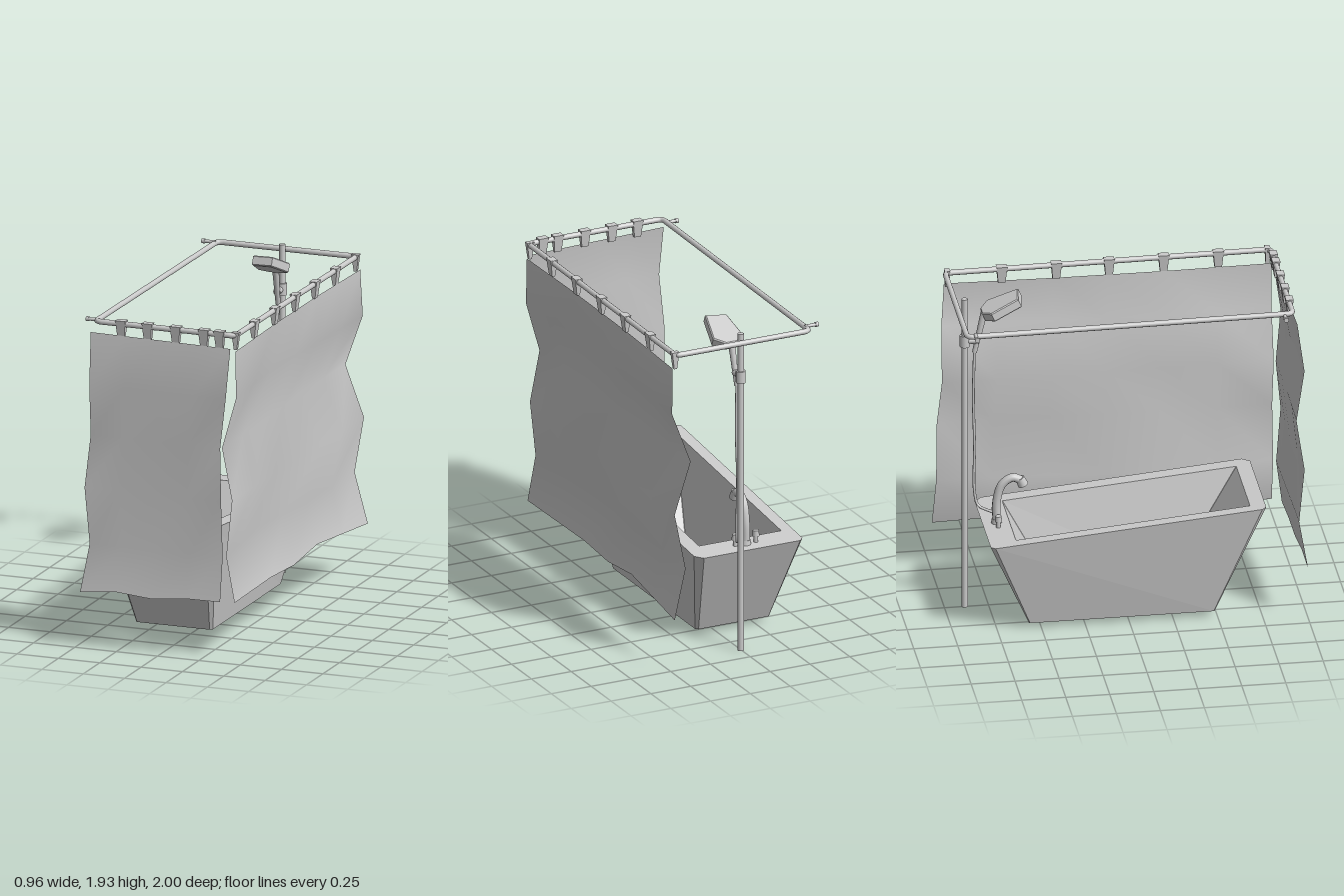
import * as THREE from 'three';

const V = (x, y, z) => new THREE.Vector3(x, y, z);
const smooth = new THREE.MeshStandardMaterial({ color: 0xcccccc });
const flat = new THREE.MeshStandardMaterial({ color: 0xcccccc, flatShading: true });
const cloth = new THREE.MeshStandardMaterial({ color: 0xcccccc, side: THREE.DoubleSide });

export function createModel() {
  const model = new THREE.Group();

  const add = (name, geometry, material = smooth, parent = model) => {
    const mesh = new THREE.Mesh(geometry, material);
    mesh.name = name;
    parent.add(mesh);
    return mesh;
  };
  const group = (name) => {
    const g = new THREE.Group();
    g.name = name;
    model.add(g);
    return g;
  };
  // Cylinder between two points
  const rod = (name, a, b, r0, r1, parent, sides = 12) => {
    const dir = b.clone().sub(a);
    const mesh = add(name, new THREE.CylinderGeometry(r1, r0, dir.length(), sides), smooth, parent);
    mesh.position.copy(a).add(b).multiplyScalar(0.5);
    mesh.quaternion.setFromUnitVectors(V(0, 1, 0), dir.normalize());
  };
  const tube = (name, points, r, parent, segments = 24) =>
    add(name, new THREE.TubeGeometry(new THREE.CatmullRomCurve3(points), segments, r, 10), smooth, parent);

  // Bathtub: rectangles (chamfered by c on the left, d on the right) lofted
  // up the outside, over the sloping rim and down the inside
  const ring = (x0, x1, z0, z1, c, d, yAt) => [
    [x1, z0 + c], [x1, z1 - c], [x1 - c, z1], [x0 + d, z1],
    [x0, z1 - d], [x0, z0 + d], [x0 + d, z0], [x1 - c, z0],
  ].map(([x, z]) => [x, yAt(z), z]);
  const rimY = (z) => 0.63 + 0.09 * z;
  const rings = [
    ring(-0.335, 0.125, -0.57, 0.485, 0.015, 0.006, () => 0.032),
    ring(-0.44, 0.232, -0.8, 0.765, 0.042, 0.025, rimY),
    ring(-0.37, 0.147, -0.65, 0.68, 0.002, 0.002, rimY),
    ring(-0.255, 0.032, -0.39, 0.3, 0.002, 0.002, () => 0.1),
  ];
  const tri = [];
  const n = 8;
  for (let j = 0; j < rings.length - 1; j++) {
    for (let i = 0; i < n; i++) {
      const k = (i + 1) % n;
      const [a, b, c, d] = [rings[j][i], rings[j][k], rings[j + 1][k], rings[j + 1][i]];
      tri.push(...a, ...c, ...b, ...a, ...d, ...c);
    }
  }
  for (let i = 1; i < n - 1; i++) {
    const [bottom, floor] = [rings[0], rings[3]];
    tri.push(...bottom[0], ...bottom[i], ...bottom[i + 1]);
    tri.push(...floor[0], ...floor[i + 1], ...floor[i]);
  }
  const tubGeo = new THREE.BufferGeometry();
  tubGeo.setAttribute('position', new THREE.Float32BufferAttribute(tri, 3));
  tubGeo.computeVertexNormals();
  add('bathtub', tubGeo, flat);

  // Drain
  const drain = group('drain');
  drain.position.set(-0.11, 0.105, -0.3);
  add('drainRing', new THREE.TorusGeometry(0.024, 0.007, 8, 20).rotateX(Math.PI / 2), smooth, drain);
  add('drainPlug', new THREE.CylinderGeometry(0.012, 0.012, 0.02, 12), smooth, drain);

  // Curtain rail: one closed tube with rounded corners, two wall stubs on the right
  const rail = group('curtainRail');
  const corners = [V(-0.408, 1.89, 0.918), V(0.434, 1.89, 0.918), V(0.434, 1.875, -0.932), V(-0.408, 1.875, -0.932)];
  const path = new THREE.CurvePath();
  const toward = (a, b) => b.clone().sub(a).setLength(0.035).add(a);
  corners.forEach((p, i) => {
    const next = corners[(i + 1) % 4], previous = corners[(i + 3) % 4];
    path.add(new THREE.QuadraticBezierCurve3(toward(p, previous), p, toward(p, next)));
    path.add(new THREE.LineCurve3(toward(p, next), toward(next, p)));
  });
  add('railTube', new THREE.TubeGeometry(path, 260, 0.016, 10, true), smooth, rail);
  for (const z of [-0.885, 0.87]) {
    rod('wallStub', V(-0.4, 1.885, z), V(-0.475, 1.885, z), 0.01, 0.01, rail);
    rod('wallFlange', V(-0.465, 1.885, z), V(-0.482, 1.885, z), 0.014, 0.014, rail);
  }

  // Curtains: coarse grids billowing between a few vertical profiles
  const curtain = (name, cols, rows, place) => {
    const geo = new THREE.PlaneGeometry(1, 1, cols, rows);
    const pos = geo.attributes.position;
    for (let i = 0; i < pos.count; i++) {
      const c = i % (cols + 1), r = Math.floor(i / (cols + 1));
      pos.setXYZ(i, ...place(c / cols, r, c));
    }
    geo.computeVertexNormals();
    add(name, geo, cloth);
  };
  const { lerp } = THREE.MathUtils;
  const heights = [1.8, 1.53, 1.23, 0.93, 0.6, 0.325];
  const across = (profiles, u, r) => {
    const t = u * (profiles.length - 1);
    const i = Math.min(Math.floor(t), profiles.length - 2);
    return lerp(profiles[i][r], profiles[i + 1][r], t - i);
  };

  const sideX = [
    [0.44, 0.445, 0.36, 0.42, 0.385, 0.435],
    [0.43, 0.41, 0.365, 0.43, 0.322, 0.4],
    [0.435, 0.44, 0.338, 0.45, 0.375, 0.425],
    [0.455, 0.465, 0.355, 0.462, 0.4, 0.475],
  ];
  const hemSide = [0.01, 0, -0.01, -0.02, 0.02, 0, -0.02];
  curtain('sideCurtain', 6, 5, (u, r, c) => [
    across(sideX, u, r),
    heights[r] + (r === 5 ? hemSide[c] : 0),
    lerp(0.925, -0.935 - 0.013 * r, u),
  ]);

  const leftX = [-0.428, -0.42, -0.43, -0.45, -0.43, -0.47];
  const rightX = [0.412, 0.4, 0.353, 0.37, 0.37, 0.367];
  const frontZ = [
    [0.94, 0.982, 0.935, 0.978, 0.95, 0.995],
    [0.935, 0.965, 0.94, 0.958, 0.945, 0.985],
    [0.93, 0.97, 0.935, 0.965, 0.94, 0.972],
  ];
  const hemFront = [0, 0.02, 0, 0.02, 0.02];
  curtain('frontCurtain', 4, 5, (u, r, c) => [
    lerp(leftX[r], rightX[r], u),
    r === 0 ? 1.83 - 0.015 * u : heights[r] + (r === 5 ? hemFront[c] : 0),
    across(frontZ, u, r),
  ]);

  // Straps that hang the curtains on the rail, tapering downwards in width and depth
  const strapGeo = new THREE.BoxGeometry(0.06, 0.1, 0.044);
  const strapPos = strapGeo.attributes.position;
  for (let i = 0; i < strapPos.count; i++) {
    if (strapPos.getY(i) < 0) {
      strapPos.setX(i, strapPos.getX(i) * 0.7);
      strapPos.setZ(i, strapPos.getZ(i) * 0.4);
    }
  }
  const straps = group('curtainStraps');
  for (const z of [0.9, 0.62, 0.31, 0, -0.3, -0.61, -0.92]) {
    const strap = add('sideStrap', strapGeo, flat, straps);
    strap.rotation.y = Math.PI / 2;
    strap.position.set(0.434, 1.85 + 0.008 * z, z);
    strap.scale.x = Math.abs(z) > 0.8 ? 0.5 : 1;
  }
  for (const x of [-0.25, -0.09, 0.08, 0.25, 0.345]) {
    add('frontStrap', strapGeo, flat, straps).position.set(x, 1.862, 0.92);
  }

  // Shower pole, slider bracket, handset and hose
  const shower = group('shower');
  rod('pole', V(0.003, 0, -0.885), V(0.003, 1.915, -0.885), 0.018, 0.018, shower, 16);
  rod('bracketCollar', V(0.003, 1.62, -0.885), V(0.003, 1.69, -0.885), 0.028, 0.028, shower);
  rod('bracketArm', V(0, 1.655, -0.88), V(0, 1.655, -0.81), 0.016, 0.022, shower);
  rod('handle', V(0, 1.58, -0.83), V(0.005, 1.82, -0.775), 0.014, 0.02, shower);
  const headShape = new THREE.Shape(
    [[-0.03, 0], [0.04, 0], [0.1, 0.05], [0.065, 0.24], [-0.06, 0.22], [-0.085, 0.05]]
      .map(([x, y]) => new THREE.Vector2(x, y)));
  const head = add('showerHead', new THREE.ExtrudeGeometry(headShape, {
    depth: 0.045, bevelEnabled: true, bevelThickness: 0.006, bevelSize: 0.006, bevelOffset: -0.006, bevelSegments: 1,
  }), flat, shower);
  head.rotation.x = THREE.MathUtils.degToRad(66);
  head.position.set(0.005, 1.825, -0.79);
  tube('hose', [V(0, 1.59, -0.83), V(0.005, 1.3, -0.835), V(-0.005, 1, -0.83), V(0, 0.72, -0.83),
    V(-0.01, 0.63, -0.81), V(-0.04, 0.61, -0.76), V(-0.06, 0.6, -0.72)], 0.008, shower, 48);

  // Tap: hooked spout with a knob on each side
  const tap = group('tap');
  tube('spout', [V(-0.11, 0.56, -0.72), V(-0.11, 0.7, -0.72), V(-0.112, 0.8, -0.69),
    V(-0.114, 0.84, -0.63), V(-0.115, 0.82, -0.58)], 0.024, tap);
  rod('spoutTip', V(-0.115, 0.835, -0.59), V(-0.115, 0.79, -0.57), 0.026, 0.03, tap);
  rod('spoutBase', V(-0.11, 0.555, -0.72), V(-0.11, 0.59, -0.72), 0.032, 0.028, tap);
  for (const x of [-0.175, -0.045]) {
    rod('knobStem', V(x, 0.55, -0.72), V(x, 0.61, -0.72), 0.013, 0.013, tap);
    rod('knob', V(x, 0.6, -0.72), V(x, 0.635, -0.72), 0.02, 0.018, tap);
  }

  return model;
}
